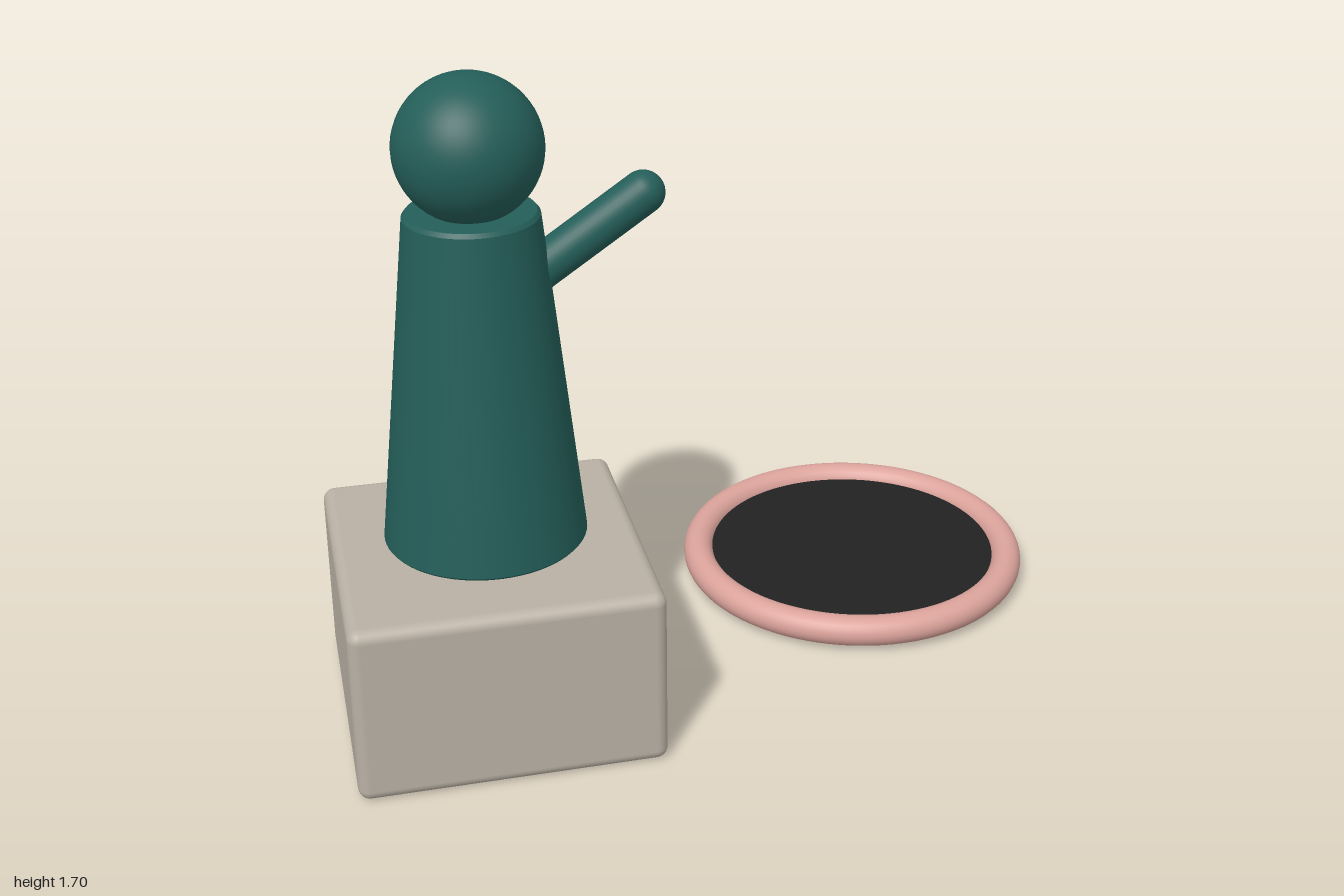
import * as THREE from 'three';
import { RoundedBoxGeometry } from 'three/addons/geometries/RoundedBoxGeometry.js';

function material(name, color) {
  const m = new THREE.MeshStandardMaterial({ color });
  m.name = name;
  return m;
}

export function createModel() {
  const group = new THREE.Group();
  const green = material('deep green', 0x245e59);
  const stone = material('warm stone', 0xb9b0a4);
  const pink = material('dusty pink', 0xdba39b);
  const black = material('soft black', 0x222222);

  const add = (name, geometry, mat, x, y, z) => {
    const mesh = new THREE.Mesh(geometry, mat);
    mesh.name = name;
    mesh.position.set(x, y, z);
    group.add(mesh);
    return mesh;
  };
  const figureX = -0.615, figureZ = 0.267;

  // Pedestal block with softened edges
  add('pedestal', new RoundedBoxGeometry(0.77, 0.475, 0.77, 4, 0.03), stone, figureX, 0.2375, figureZ);

  // Tapered body, hovering just above the pedestal, with small edge bevels
  const profile = [[0, 0.5], [0.25, 0.5], [0.25, 0.5], [0.255, 0.506], [0.255, 0.506],
    [0.165, 1.35], [0.165, 1.35], [0.157, 1.36], [0.157, 1.36], [0, 1.36]];
  add('body', new THREE.LatheGeometry(profile.map(([r, y]) => new THREE.Vector2(r, y)), 64),
    green, figureX, 0, figureZ);

  // Head
  add('head', new THREE.SphereGeometry(0.18, 48, 32), green, figureX, 1.515, figureZ);

  // Raised arm, from inside the body to the rounded hand
  const shoulder = new THREE.Vector3(-0.53, 1.147, figureZ);
  const hand = new THREE.Vector3(-0.2, 1.37, figureZ);
  const direction = hand.clone().sub(shoulder);
  const middle = shoulder.clone().add(hand).multiplyScalar(0.5);
  const arm = add('arm', new THREE.CapsuleGeometry(0.054, direction.length(), 12, 32), green,
    middle.x, middle.y, middle.z);
  arm.quaternion.setFromUnitVectors(new THREE.Vector3(0, 1, 0), direction.normalize());

  // Flat hoop lying beside the pedestal, filled by a dark disc
  const hoop = add('hoopRim', new THREE.TorusGeometry(0.448, 0.042, 24, 96), pink, 0.505, 0.051, -0.167);
  hoop.rotation.x = Math.PI / 2;
  add('hoopDisc', new THREE.CylinderGeometry(0.435, 0.435, 0.05, 96), black, 0.505, 0.036, -0.167);

  return group;
}
